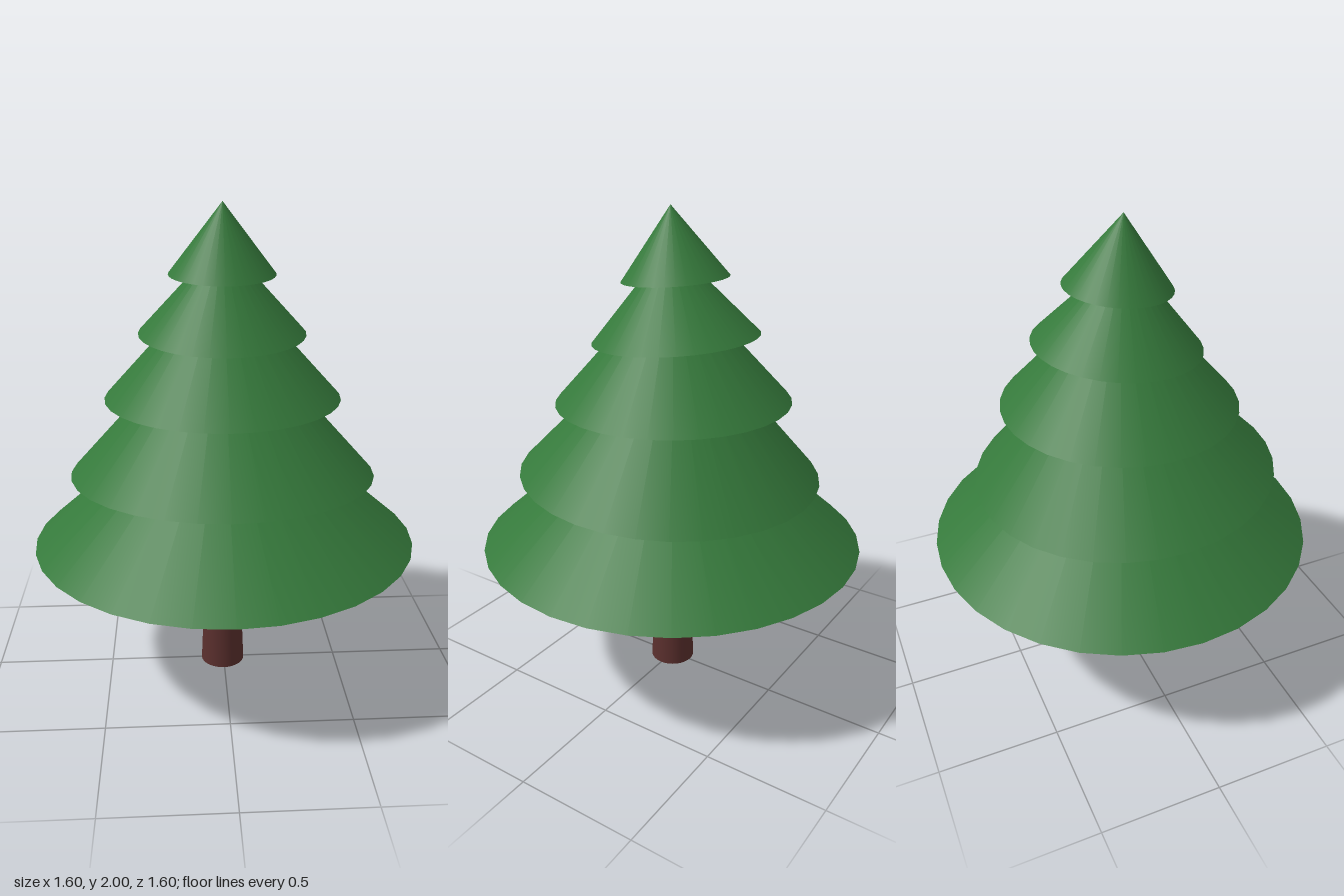
import * as THREE from 'three';

const green = new THREE.MeshStandardMaterial({ color: 0x35793b });
const brown = new THREE.MeshStandardMaterial({ color: 0x5a2f2d });

// Foliage cones, lowest first: base radius, height, base y, tilt about x, tilt about z
const TIERS = [
  [0.8, 0.7, 0.61, 0, 0.006],
  [0.628, 0.69, 0.912, -0.044, -0.003],
  [0.482, 0.53, 1.228, 0.015, 0.003],
  [0.338, 0.37, 1.488, 0.082, 0],
  [0.214, 0.278, 1.722, 0.082, 0],
];

export function createModel() {
  const tree = new THREE.Group();
  tree.name = 'pineTree';

  const add = (name, geometry, material, x, y) => {
    const mesh = new THREE.Mesh(geometry, material);
    mesh.name = name;
    mesh.position.set(x, y, 0);
    tree.add(mesh);
    return mesh;
  };

  // Tapered trunk, running up into the lowest tier
  const trunkHeight = 0.7;
  add('trunk', new THREE.CylinderGeometry(0.065, 0.094, trunkHeight, 32, 1, true), brown, -0.004, trunkHeight / 2);

  // Green end faces of the trunk
  add('trunkBase', new THREE.CircleGeometry(0.094, 32).rotateX(Math.PI / 2), green, -0.004, 0);
  add('trunkTop', new THREE.CircleGeometry(0.065, 32).rotateX(-Math.PI / 2), green, -0.004, trunkHeight);

  // Overlapping foliage tiers, each tilted about its middle
  TIERS.forEach(([radius, height, baseY, tiltX, tiltZ], i) => {
    const tier = add(`foliageTier${i + 1}`, new THREE.ConeGeometry(radius, height, 32), green,
      i ? -0.004 : 0, baseY + height / 2);
    tier.rotation.set(tiltX, 0, tiltZ);
  });

  return tree;
}
